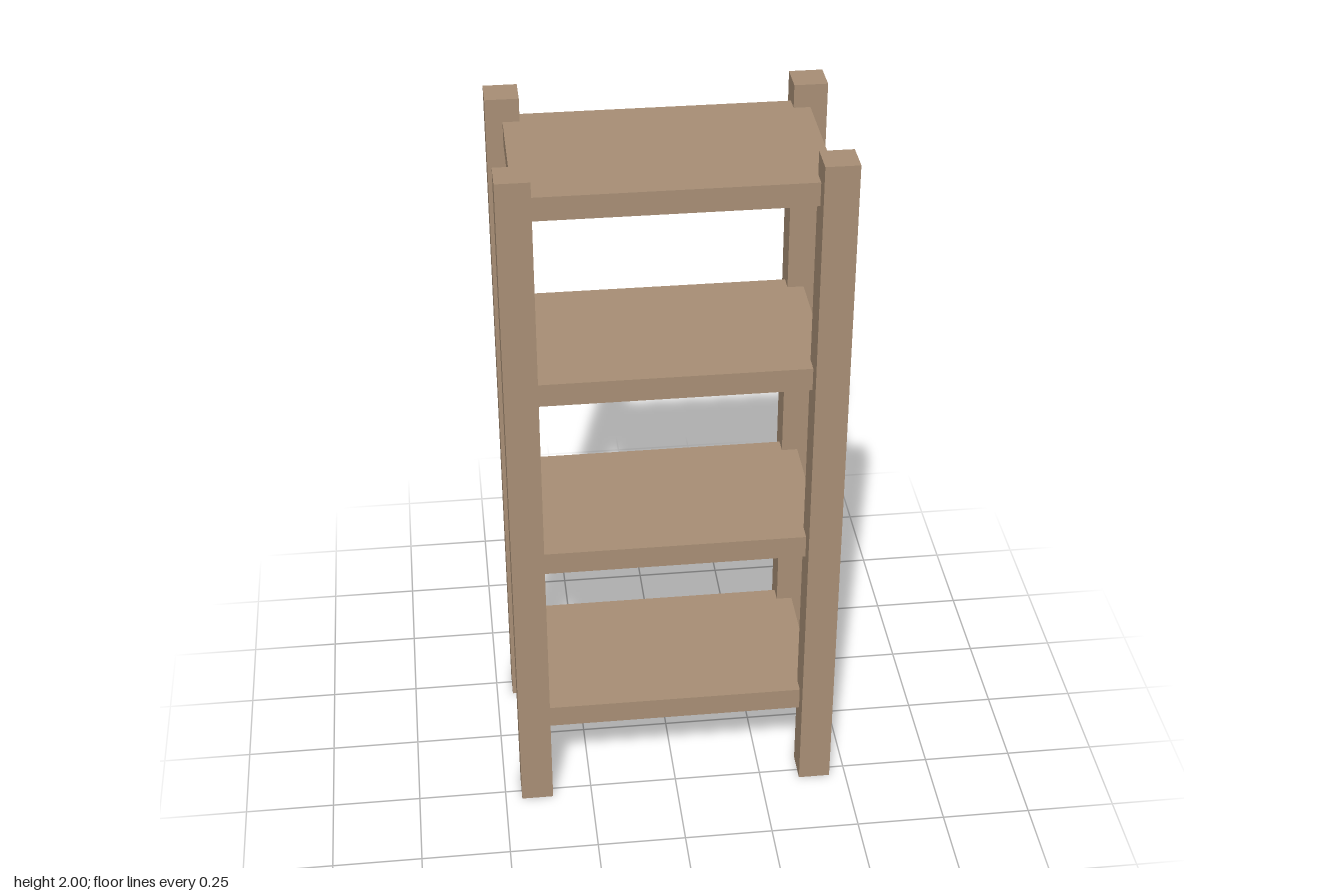
import * as THREE from 'three';

export function createModel() {
  const model = new THREE.Group();
  model.name = 'shelvingUnit';
  const wood = new THREE.MeshStandardMaterial({ color: 0xa98f76 });

  const addBox = (name, size, position) => {
    const mesh = new THREE.Mesh(new THREE.BoxGeometry(...size), wood);
    mesh.name = name;
    mesh.position.set(...position);
    model.add(mesh);
  };

  // Four square corner posts
  const post = 0.09, height = 2, postX = 0.408, postZ = 0.239;
  for (const [xName, x] of [['Left', postX], ['Right', -postX]]) {
    for (const [zName, z] of [['front', postZ], ['back', -postZ]]) {
      addBox(`${zName}${xName}Post`, [post, height, post], [x, height / 2, z]);
    }
  }

  // Four evenly spaced shelves, reaching the centres of the posts
  const thickness = 0.066, lowest = 0.264, spacing = 0.546;
  for (let i = 0; i < 4; i++) {
    addBox(`shelf${i + 1}`, [postX * 2, thickness, postZ * 2], [0, lowest + i * spacing, 0]);
  }

  return model;
}
